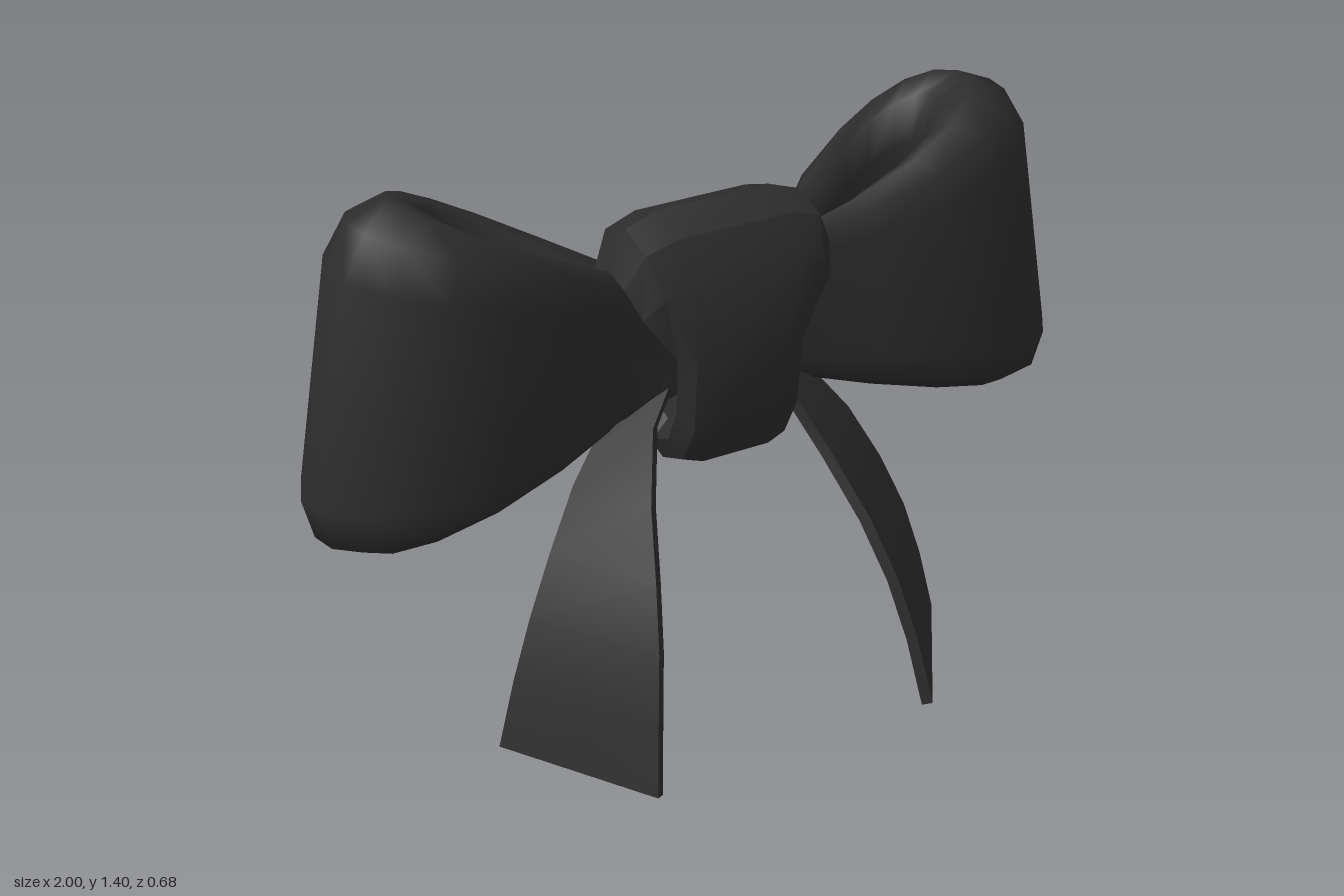
import * as THREE from 'three';
import { toCreasedNormals } from 'three/addons/utils/BufferGeometryUtils.js';

// Skin a row of equal-length closed cross-sections; faces are turned outward by signed volume.
function loft(sections, closed, crease) {
  const n = sections[0].length, rows = sections.length;
  const pos = sections.flat(2);
  const idx = [];
  for (let r = 0; r < (closed ? rows : rows - 1); r++) {
    const r2 = (r + 1) % rows;
    for (let i = 0; i < n; i++) {
      const j = (i + 1) % n;
      const a = r * n + i, b = r * n + j, c = r2 * n + j, d = r2 * n + i;
      idx.push(a, b, c, a, c, d);
    }
  }
  if (!closed) {
    const e = (rows - 1) * n;
    for (let i = 1; i < n - 1; i++) idx.push(0, i + 1, i, e, e + i, e + i + 1);
  }
  const p = (k) => new THREE.Vector3().fromArray(pos, k * 3);
  let volume = 0;
  for (let k = 0; k < idx.length; k += 3) volume += p(idx[k]).dot(p(idx[k + 1]).cross(p(idx[k + 2])));
  if (volume < 0) idx.reverse();
  const geo = new THREE.BufferGeometry();
  geo.setAttribute('position', new THREE.Float32BufferAttribute(pos, 3));
  geo.setIndex(idx);
  geo.computeVertexNormals();
  return crease ? toCreasedNormals(geo, crease) : geo;
}

// Puffy band cross-section: t runs inner (0) to outer (1), v across the band width.
const half = [[1, 0], [1, 0.66], [0.84, 0.9], [0.5, 1], [0.16, 0.9], [0, 0.62], [0, 0]];
const band = [...half, ...half.slice(1, -1).reverse().map(([t, v]) => [t, -v])];
const knotHalf = [[1, 0.54], [0.86, 0.84], [0.4, 1], [0.05, 0.75]];
const knotBand = [...knotHalf, ...knotHalf.map(([t, v]) => [t, -v]).reverse()];

// Ribbon loop seen from above: outer x, outer z, inner x, inner z.
const loopPath = [
  [0.10, -0.02, 0.10, -0.07], [0.25, -0.03, 0.25, -0.07], [0.42, 0.045, 0.38, -0.05],
  [0.60, 0.09, 0.52, -0.045], [0.76, 0.075, 0.62, -0.055], [0.88, 0.02, 0.67, -0.085],
  [0.945, -0.07, 0.69, -0.115], [0.955, -0.15, 0.69, -0.14], [0.91, -0.25, 0.68, -0.165],
  [0.83, -0.315, 0.64, -0.185], [0.72, -0.34, 0.57, -0.195], [0.57, -0.335, 0.49, -0.18],
  [0.40, -0.265, 0.38, -0.13], [0.25, -0.14, 0.25, -0.085], [0.10, -0.09, 0.10, -0.06],
];

function loopGeometry(side) {
  return loft(loopPath.map(([ox, oz, ix, iz]) => {
    const s = (ox + ix) / 2;
    const h = 0.1 + 0.37 * s, yc = 0.93 + 0.085 * s;
    const lean = 0.17 * Math.min(1, s / 0.7);
    return band.map(([t, v]) => {
      const x = ix + (ox - ix) * t - lean * v * h;
      return [side * x, yc + v * h, iz + (oz - iz) * t];
    });
  }), false);
}

// Hanging tail: front edge point, then back edge point, from the knot down.
const tailPath = [
  [0.10, 0.86, -0.04, 0.14, 0.89, -0.09],
  [0.18, 0.76, 0.00, 0.26, 0.79, -0.07],
  [0.24, 0.61, 0.09, 0.37, 0.65, -0.04],
  [0.285, 0.47, 0.185, 0.45, 0.505, -0.015],
  [0.32, 0.33, 0.255, 0.515, 0.36, 0.0],
  [0.35, 0.18, 0.30, 0.565, 0.21, 0.004],
  [0.375, 0.008, 0.337, 0.608, 0.045, 0.004],
];

function tailGeometry(side) {
  const [nx, ny, nz] = [0.0105, 0.003, 0.0075]; // half thickness along the face direction
  return loft(tailPath.map(([ax, ay, az, bx, by, bz]) => [
    [side * (ax + nx), ay + ny, az + nz],
    [side * (bx + nx), by + ny, bz + nz],
    [side * (bx - nx), by - ny, bz - nz],
    [side * (ax - nx), ay - ny, az - nz],
  ]), false, 0.6);
}

// Knot: a band wrapped round the x axis, widest at the top.
function knotGeometry() {
  const sections = [];
  const soft = (v) => Math.sign(v) * Math.abs(v) ** 0.82;
  for (let k = 0; k < 12; k++) {
    const a = (k / 12) * Math.PI * 2;
    const sn = soft(Math.sin(a)), cs = soft(Math.cos(a));
    const w = 0.165 + 0.108 * THREE.MathUtils.smoothstep(sn, -0.1, 0.85);
    const thickY = sn > 0 ? 0.2 : 0.12;
    sections.push(knotBand.map(([t, v]) => [
      v * w,
      0.96 + sn * (0.32 - thickY * (1 - t)),
      -0.037 + cs * (0.174 - 0.09 * (1 - t)),
    ]));
  }
  return loft(sections, true, 0.5);
}

export function createModel() {
  const ribbon = new THREE.MeshStandardMaterial({ color: 0x2d2d2d });
  ribbon.name = 'charcoal ribbon';
  const model = new THREE.Group();
  model.name = 'ribbonBow';
  const add = (name, geometry) => {
    const mesh = new THREE.Mesh(geometry, ribbon);
    mesh.name = name;
    model.add(mesh);
  };
  add('knot', knotGeometry());
  for (const [label, side] of [['left', 1], ['right', -1]]) {
    add(label + 'Loop', loopGeometry(side));
    add(label + 'Tail', tailGeometry(side));
  }
  return model;
}
